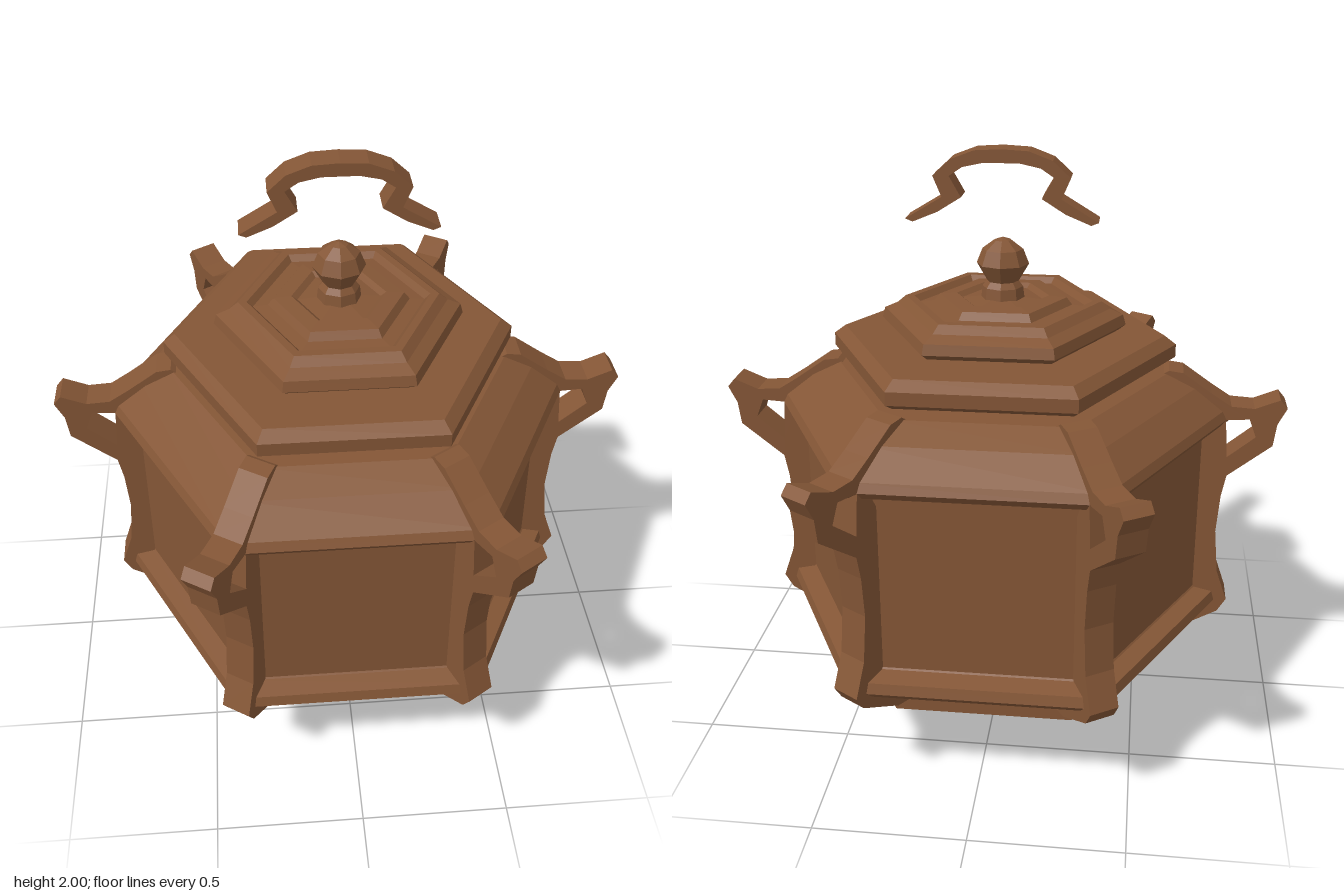
import * as THREE from 'three';

const wood = new THREE.MeshStandardMaterial({ color: 0x845636 });
wood.name = 'brown wood';

// Crisp faceted mesh
function facet(name, geometry) {
  const g = geometry.index ? geometry.toNonIndexed() : geometry;
  g.computeVertexNormals();
  const mesh = new THREE.Mesh(g, wood);
  mesh.name = name;
  return mesh;
}

const toPoints = (list) => list.map(([x, y]) => new THREE.Vector2(x, y));

// Six-sided ring from a [radius, height] profile, corners on the x axis
const hexTier = (name, profile, sides = 6) =>
  facet(name, new THREE.LatheGeometry(toPoints(profile), sides, Math.PI / 2));

// Flat outline with thickness, centred on z
function slab(name, outline, depth, hole) {
  const shape = new THREE.Shape(toPoints(outline));
  if (hole) shape.holes.push(new THREE.Path(toPoints(hole)));
  const g = new THREE.ExtrudeGeometry(shape, { depth, bevelEnabled: false });
  g.translate(0, 0, -depth / 2);
  return facet(name, g);
}

export function createModel() {
  const model = new THREE.Group();
  model.name = 'hexagonalLantern';

  // The hexagon is slightly longer from front to back
  const body = new THREE.Group();
  body.name = 'lanternBody';
  body.scale.z = 1.13;
  model.add(body);

  // Stepped foot
  body.add(hexTier('foot', [
    [0, 0], [0.33, 0], [0.345, 0.045], [0.4, 0.05], [0.43, 0.07],
    [0.43, 0.115], [0.4, 0.135], [0, 0.135],
  ]));
  body.add(hexTier('basePlate', [
    [0, 0.16], [0.56, 0.16], [0.6, 0.185], [0.6, 0.245], [0.565, 0.262], [0, 0.262],
  ]));

  // Flared underside, lower ledge, recessed panels, upper ledge and roof
  body.add(hexTier('panelledBody', [
    [0, 0.255], [0.54, 0.26], [0.6, 0.29], [0.72, 0.355], [0.79, 0.355],
    [0.815, 0.38], [0.805, 0.415], [0.74, 0.43], [0.735, 0.435], [0.735, 1.06],
    [0.795, 1.065], [0.815, 1.09], [0.8, 1.12], [0.7, 1.2], [0.6, 1.25], [0, 1.262],
  ]));

  // Lid tiers
  body.add(hexTier('lidPlate', [
    [0, 1.275], [0.57, 1.275], [0.6, 1.295], [0.6, 1.34], [0.56, 1.37], [0, 1.37],
  ]));
  body.add(hexTier('lidCrown', [
    [0, 1.385], [0.4, 1.385], [0.425, 1.405], [0.415, 1.44], [0.37, 1.46],
    [0.34, 1.485], [0.31, 1.485], [0.29, 1.465], [0.24, 1.47], [0.22, 1.495],
    [0.16, 1.5], [0.14, 1.485], [0, 1.5],
  ]));

  // Corner ribs with a triangular loop at the shoulder
  const ribOutline = [
    [0.54, 1.235], [0.62, 1.2], [0.74, 1.08], [0.7, 1.0], [0.7, 0.45], [0.73, 0.39],
    [0.55, 0.29], [0.57, 0.235], [0.64, 0.245], [0.8, 0.335], [0.83, 0.385],
    [0.79, 0.5], [0.775, 0.66], [0.785, 0.8], [0.8, 0.88], [0.95, 1.0],
    [0.96, 1.08], [0.99, 1.14], [0.965, 1.17], [0.88, 1.135], [0.8, 1.14],
    [0.73, 1.185], [0.63, 1.255], [0.58, 1.262],
  ];
  const ribHole = [[0.785, 1.09], [0.865, 1.095], [0.89, 1.03], [0.795, 0.95]];
  for (let i = 0; i < 6; i++) {
    const rib = slab('cornerRib', ribOutline, 0.1, ribHole);
    rib.rotation.y = (i * Math.PI) / 3;
    body.add(rib);
  }

  // Faceted bud on the lid
  model.add(hexTier('finial', [
    [0, 1.48], [0.075, 1.49], [0.07, 1.53], [0.055, 1.55], [0.09, 1.61],
    [0.07, 1.66], [0.03, 1.69], [0, 1.7],
  ], 8));

  // Curved carrying handle floating above the bud
  const outerHalf = [
    [0.09, 1.995], [0.17, 1.965], [0.23, 1.91], [0.2, 1.84], [0.325, 1.765],
  ];
  const innerHalf = [
    [0.3, 1.755], [0.215, 1.79], [0.135, 1.84], [0.175, 1.91], [0.13, 1.94], [0.06, 1.955],
  ];
  const half = [...outerHalf, ...innerHalf];
  const mirrored = half.map(([x, y]) => [-x, y]).reverse();
  model.add(slab('carryingHandle', [[0, 2], ...half, ...mirrored], 0.1));

  return model;
}
